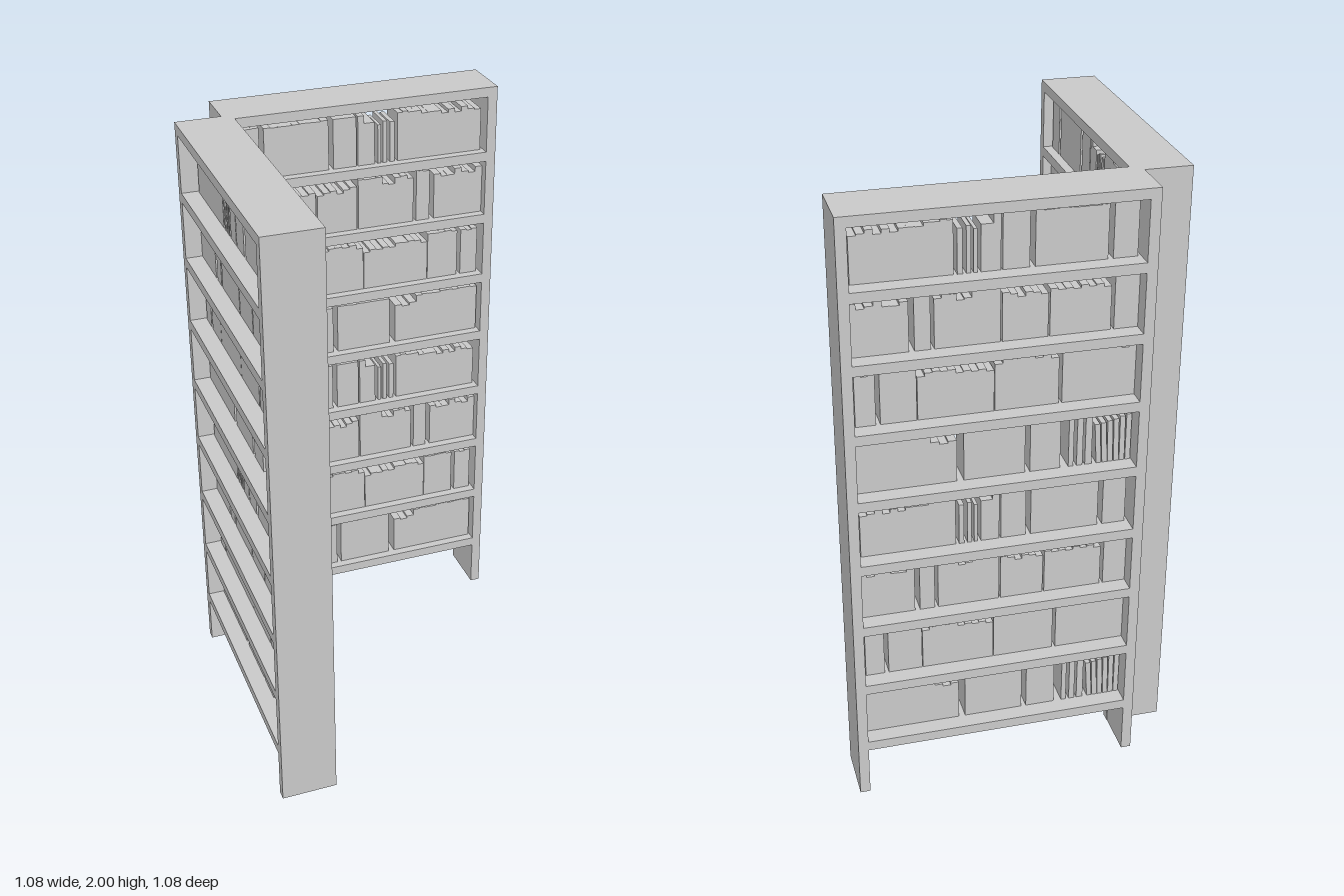
import * as THREE from 'three';

const LENGTH = 0.93, DEPTH = 0.185, BOARD = 0.033, HEIGHT = 2;
const STEP = 0.2247, FIRST_TOP = 0.203; // shelf spacing, top of lowest shelf
const UNIT = 0.0053; // layout unit of the book rows (163 units fit between the posts)
const BOOK_WIDTH = 4.5; // typical book, in layout units
const BOOK_BACK = -DEPTH / 2 + 0.055, BOOK_DEPTH = 0.1;

// Each run of books: [start, end, tallest book, height variation]
const ROWS = [
  [[24, 28, 31, 0], [29.5, 33, 32, 1], [35, 38, 32, 0], [43, 61, 32, 0.5],
    [64, 100, 32.5, 0.7], [104, 119, 28, 3], [119, 162, 32, 0.7]],
  [[0, 43, 33, 3], [45, 82, 32, 4], [82.4, 126, 29, 4], [126.4, 147, 32, 1], [149.5, 161, 32, 2]],
  [[0, 14, 34, 1], [16, 51, 30, 4], [52, 78, 30, 5], [79, 95, 33, 0.5],
    [95, 116, 32, 5], [118, 127, 34, 1], [130, 163, 32, 5]],
  [[2, 16, 33, 1], [19, 60, 32, 0.7], [63, 78, 32, 0.5], [79, 83, 32, 0], [83, 90, 27, 0],
    [92, 94, 25, 0], [95.5, 98, 27, 0], [100, 103, 26, 0], [105, 112, 32, 1], [112, 161, 31, 4]],
];

// Slim books leaning at the start of the first layout
const LEANING = 6;

const material = new THREE.MeshStandardMaterial({ color: 0xcccccc });

// Repeatable value from 0 to 1
function noise(n) {
  const v = Math.sin(n * 12.9898) * 43758.5453;
  return v - Math.floor(v);
}

function addBoard(parent, name, w, h, x, y) {
  const board = new THREE.Mesh(new THREE.BoxGeometry(w, h, DEPTH), material);
  board.name = name;
  board.position.set(x, y, 0);
  parent.add(board);
}

// A run of books as one stepped outline, extruded through its depth
function addBooks(row, name, [start, end, tallest, variation], lean = 0) {
  const count = Math.max(1, Math.round((end - start) / BOOK_WIDTH));
  const width = (end - start) / count;
  const shape = new THREE.Shape();
  shape.moveTo(start * UNIT, 0);
  for (let i = 0; i < count; i++) {
    const left = start + i * width + lean;
    const top = (tallest - variation * noise(start + i)) * UNIT;
    shape.lineTo(left * UNIT, top);
    shape.lineTo((left + width) * UNIT, top);
  }
  shape.lineTo(end * UNIT, 0);
  shape.closePath();
  const geometry = new THREE.ExtrudeGeometry(shape, { depth: BOOK_DEPTH, bevelEnabled: false });
  const books = new THREE.Mesh(geometry, material);
  books.name = name;
  row.add(books);
}

function createBookcase(name) {
  const bookcase = new THREE.Group();
  bookcase.name = name;
  const inner = LENGTH - 2 * BOARD;

  // side panels reach the floor
  for (const s of [-1, 1]) {
    addBoard(bookcase, s < 0 ? 'rightPanel' : 'leftPanel', BOARD, HEIGHT, s * (LENGTH - BOARD) / 2, HEIGHT / 2);
  }

  // shelves, each carrying a row of books; four layouts repeat twice
  for (let i = 0; i < 8; i++) {
    const top = FIRST_TOP + i * STEP;
    addBoard(bookcase, 'shelf', inner, BOARD, 0, top - BOARD / 2);

    const row = new THREE.Group();
    row.name = 'bookRow';
    row.position.set(-inner / 2, top, BOOK_BACK);
    for (const run of ROWS[i % 4]) addBooks(row, 'books', run);
    if (i % 4 === 0) {
      for (let k = 0; k < LEANING; k++) {
        addBooks(row, 'leaningBook', [0.5 + k * 3.5, 3.6 + k * 3.5, 30 - k * 0.8, 1], k * 0.3);
      }
    }
    bookcase.add(row);
  }
  addBoard(bookcase, 'topBoard', inner, BOARD, 0, HEIGHT - BOARD / 2);
  return bookcase;
}

export function createModel() {
  const model = new THREE.Group();
  model.name = 'cornerBookcase';
  const offset = 0.54 - DEPTH / 2, shift = 0.54 - LENGTH / 2;

  const back = createBookcase('backBookcase');
  back.position.set(shift, 0, -offset);

  // the same bookcase turned to face +x
  const side = createBookcase('sideBookcase');
  side.rotation.y = Math.PI / 2;
  side.position.set(-offset, 0, shift);

  model.add(back, side);
  return model;
}
